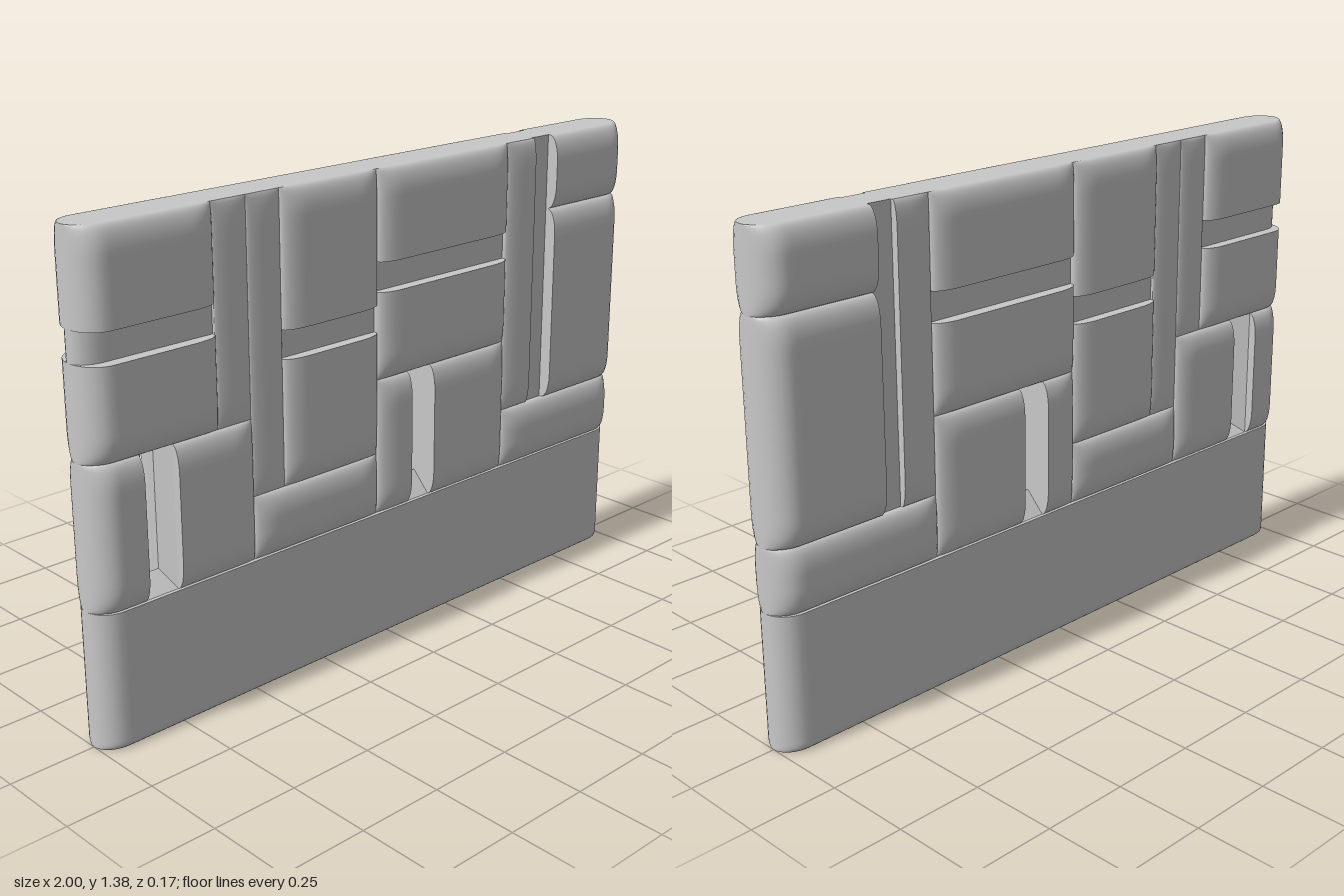
import * as THREE from 'three';

const EDGE = 0.056;   // half thickness at a cushion seam
const CAP = 0.07;     // length of the rounded ends of the wall
const SOFT = 0.075;   // width of the cushion rounding

const round = d => Math.sqrt(1 - (1 - Math.min(Math.max(d, 0) / SOFT, 1)) ** 2);
const endScale = x => {
  const t = Math.max(0, (Math.abs(x) - (1 - CAP)) / CAP);
  return Math.sqrt(Math.max(0, 1 - t * t));
};

// Block through the full wall; depth(x, y) gives its half thickness
function block(x0, x1, y0, y1, depth, nx, ny) {
  const g = new THREE.BoxGeometry(1, 1, 2, nx, ny, 1);
  const p = g.attributes.position;
  const ease = u => (1 - Math.cos(Math.PI * u)) / 2;
  for (let i = 0; i < p.count; i++) {
    const x = x0 + (x1 - x0) * ease(p.getX(i) + 0.5);
    const y = y0 + (y1 - y0) * ease(p.getY(i) + 0.5);
    p.setXYZ(i, x, y, p.getZ(i) * depth(x, y) * endScale(x));
  }
  g.computeVertexNormals();
  return g;
}

// Cushion bulging on both faces; soft lists the edges that roll off (L R T B)
function cushion(x0, x1, y0, y1, soft, bulge) {
  const depth = (x, y) => {
    let f = 1;
    if (soft.includes('L')) f *= round(x - x0);
    if (soft.includes('R')) f *= round(x1 - x);
    if (soft.includes('B')) f *= round(y - y0);
    if (soft.includes('T')) f *= round(y1 - y);
    return EDGE + bulge * f;
  };
  return block(x0, x1, y0, y1, depth, 24, 24);
}

// Triangular prism: base 0.114 across z, ridge h away along +x, running up y
function prism(h, length) {
  const s = new THREE.Shape();
  s.moveTo(0, -0.057);
  s.lineTo(h, 0);
  s.lineTo(0, 0.057);
  s.closePath();
  return new THREE.ExtrudeGeometry(s, { depth: length, bevelEnabled: false }).rotateX(-Math.PI / 2);
}

export function createModel() {
  const group = new THREE.Group();
  group.name = 'paddedWall';
  const grey = new THREE.MeshStandardMaterial({ color: 0xc8c8c8 });
  grey.name = 'grey';
  const add = (name, geometry) => {
    const m = new THREE.Mesh(geometry, grey);
    m.name = name;
    group.add(m);
    return m;
  };

  // Plain base with a slightly rounded foot
  add('base', block(-1, 1, 0, 0.39, (x, y) => 0.068 - 0.012 * Math.max(0, 1 - y / 0.015) ** 2, 64, 24));

  // Cushions: x0, x1, y0, y1, soft edges, bulge
  const cushions = [
    [-1, -0.605, 1.13, 1.385, 'RT', 0.028],
    [-1, -0.605, 0.79, 1.045, 'RB', 0.028],
    [-1, -0.855, 0.39, 0.79, 'TB', 0.026],
    [-0.75, -0.495, 0.39, 0.79, 'RTB', 0.026],
    [-0.605, -0.495, 0.79, 1.385, 'LRTB', 0.01],
    [-0.495, -0.385, 0.57, 1.385, 'LRTB', 0.01],
    [-0.385, -0.045, 1.01, 1.385, 'LRT', 0.026],
    [-0.385, -0.045, 0.57, 0.93, 'LRB', 0.026],
    [-0.495, -0.045, 0.39, 0.57, 'LRTB', 0.026],
    [-0.045, 0.475, 1.13, 1.385, 'LRT', 0.029],
    [-0.045, 0.475, 0.79, 1.045, 'LRB', 0.029],
    [-0.045, 0.075, 0.39, 0.79, 'LTB', 0.026],
    [0.165, 0.475, 0.39, 0.79, 'RTB', 0.026],
    [0.475, 0.59, 0.57, 1.385, 'LTB', 0.014],
    [0.665, 1, 1.165, 1.385, 'TB', 0.031],
    [0.665, 1, 0.57, 1.165, 'TB', 0.031],
    [0.475, 1, 0.39, 0.57, 'LTB', 0.026],
  ];
  cushions.forEach((c, i) => add('cushion' + (i + 1), cushion(...c)));

  // Recessed flat grooves between cushions
  const grooves = [
    [-1, -0.605, 1.045, 1.13],
    [-0.385, -0.045, 0.93, 1.01],
    [-0.045, 0.475, 1.045, 1.13],
    [0.59, 0.665, 0.57, 1.385],
  ];
  grooves.forEach((r, i) => add('groove' + (i + 1), block(...r, () => 0.049, 24, 4)));

  // Ridged sills of the two slots
  for (const [x0, x1, h] of [[-0.855, -0.75, 0.045], [0.075, 0.165, 0.06]]) {
    const sill = add('slotSill', prism(h, x1 - x0).rotateZ(Math.PI / 2));
    sill.position.set(x1, 0.39, 0);
  }

  // Ridged jambs of the narrow slot
  add('slotJamb', prism(0.045, 0.4)).position.set(-0.855, 0.39, 0);
  add('slotJamb', prism(0.02, 0.4).rotateY(Math.PI)).position.set(-0.75, 0.39, 0);

  return group;
}
